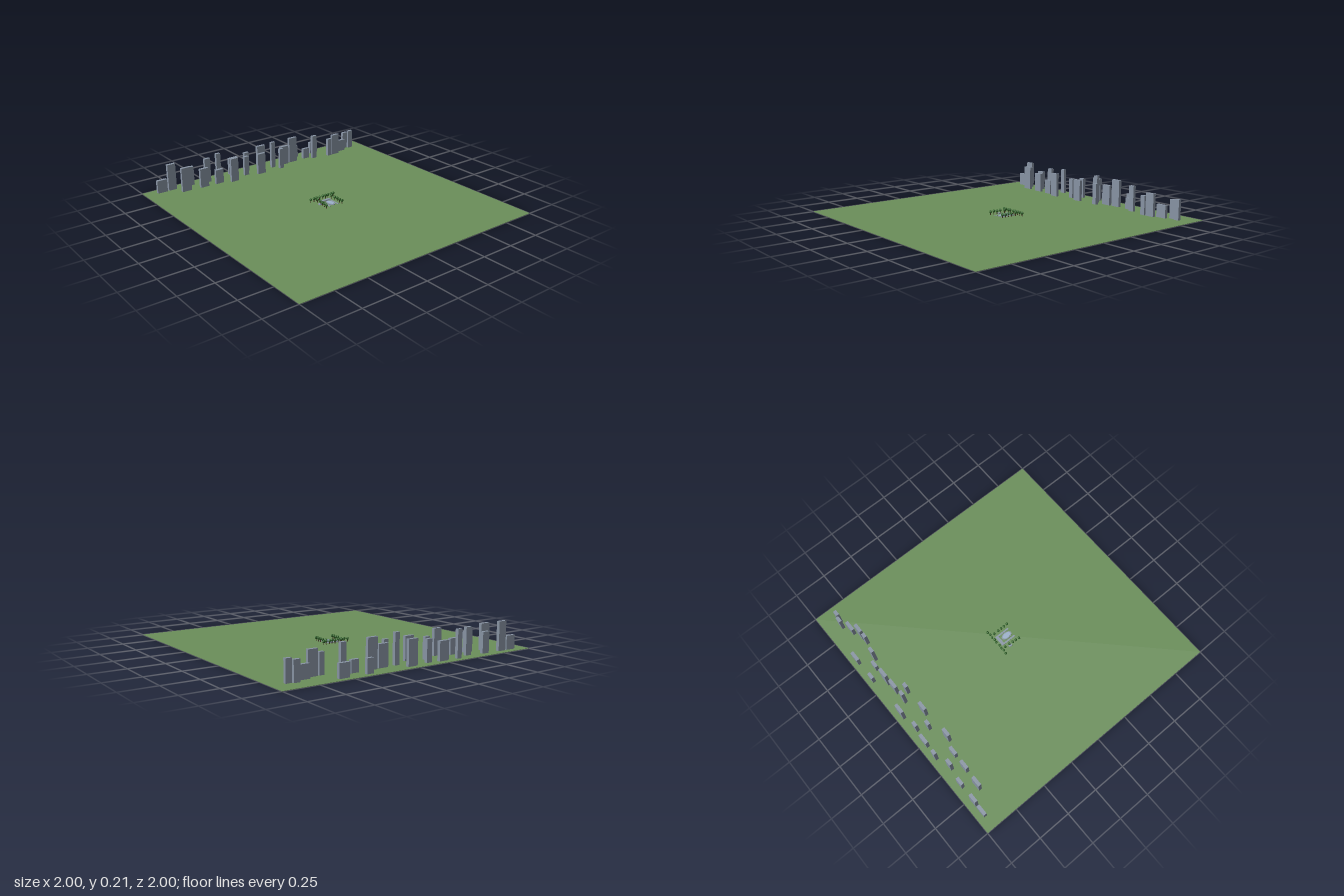
import * as THREE from 'three';

const mat = (name, color) => Object.assign(new THREE.MeshStandardMaterial({ color }), { name });

export function createModel() {
  const grass = mat('grass', 0x6b8f5a);
  const facade = mat('blue grey facade', 0x8793a3);
  const paving = mat('pale paving', 0x8c99a8);
  const leaf = mat('leaf green', 0x2f6328);
  const bark = mat('bark brown', 0x4a3726);
  const water = mat('pool water', 0x9db2cc);

  const model = new THREE.Group();
  model.name = 'parkWithSkyline';
  const add = (name, geometry, material, x, y, z, parent = model) => {
    const mesh = new THREE.Mesh(geometry, material);
    mesh.name = name;
    mesh.position.set(x, y, z);
    parent.add(mesh);
    return mesh;
  };
  const box = (name, w, h, d, material, x, y, z, parent) =>
    add(name, new THREE.BoxGeometry(w, h, d), material, x, y + h / 2, z, parent);

  // Lawn
  const top = 0.002;
  box('lawn', 2, top, 2, grass, 0, 0, 0);

  // Skyline: left edge, right edge, height, depth position
  const skyline = new THREE.Group();
  skyline.name = 'skyline';
  model.add(skyline);
  [
    [-0.905, -0.826, 0.10, -0.94], [-0.815, -0.75, 0.207, -0.94], [-0.745, -0.67, 0.188, -0.853],
    [-0.66, -0.602, 0.15, -0.935], [-0.596, -0.527, 0.15, -0.843], [-0.516, -0.468, 0.193, -0.914],
    [-0.466, -0.4, 0.113, -0.838], [-0.393, -0.356, 0.197, -0.951], [-0.35, -0.286, 0.187, -0.802],
    [-0.284, -0.206, 0.135, -0.945], [-0.197, -0.158, 0.155, -0.857], [-0.151, -0.11, 0.157, -0.93],
    [-0.099, -0.03, 0.167, -0.813], [-0.018, 0.056, 0.177, -0.947], [0.067, 0.103, 0.214, -0.87],
    [0.11, 0.147, 0.165, -0.813], [0.158, 0.233, 0.155, -0.872], [0.249, 0.323, 0.207, -0.88],
    [0.334, 0.384, 0.10, -0.952], [0.39, 0.447, 0.086, -0.88], [0.457, 0.5, 0.193, -0.843],
    [0.51, 0.587, 0.097, -0.952], [0.597, 0.634, 0.145, -0.813], [0.644, 0.714, 0.17, -0.815],
    [0.72, 0.8, 0.096, -0.845], [0.81, 0.855, 0.14, -0.88], [0.859, 0.901, 0.15, -0.866],
  ].forEach(([x0, x1, h, z]) =>
    box('tower', x1 - x0, h - top, 0.024, facade, (x0 + x1) / 2, top, z, skyline));

  // Garden: paved frame, terrace, pool and bench
  const garden = new THREE.Group();
  garden.name = 'garden';
  model.add(garden);
  for (const s of [-1, 1]) box('sidePath', 0.012, 0.002, 0.1, paving, s * 0.036, top, -0.005, garden);
  box('backTerrace', 0.084, 0.006, 0.022, paving, 0, top, -0.062, garden);
  box('sideBench', 0.02, 0.006, 0.024, paving, -0.075, top, -0.027, garden);
  const rim = add('poolRim', new THREE.CylinderGeometry(0.024, 0.024, 0.006, 24), paving, 0, top + 0.003, 0, garden);
  rim.scale.z = 1.75;
  const pool = add('poolWater', new THREE.CylinderGeometry(0.018, 0.018, 0.002, 24), water, 0, top + 0.0065, 0, garden);
  pool.scale.z = 1.85;

  // Trees: back row and two side rows
  const trunkGeo = new THREE.CylinderGeometry(0.002, 0.003, 0.018, 6);
  const crownGeo = new THREE.SphereGeometry(0.01, 10, 8);
  const tree = (x, z, i) => {
    const group = new THREE.Group();
    group.name = 'tree';
    group.position.set(x, top, z);
    garden.add(group);
    add('trunk', trunkGeo, bark, 0, 0.009, 0, group);
    const crown = add('crown', crownGeo, leaf, 0, 0.023 + 0.002 * (i % 2), 0, group);
    crown.scale.set(0.9 + 0.12 * (i % 3), 1.15, 0.9);
  };
  [-0.107, -0.08, -0.055, -0.03, 0.002, 0.025, 0.05, 0.075, 0.1].forEach((x, i) =>
    tree(x, -0.096 + 0.004 * (i % 2), i));
  [-0.068, -0.03, -0.002, 0.025, 0.053].forEach((z, i) => {
    tree(-0.066 - 0.003 * i, z, i);
    tree(0.062, z + 0.002, i + 1);
  });
  return model;
}
